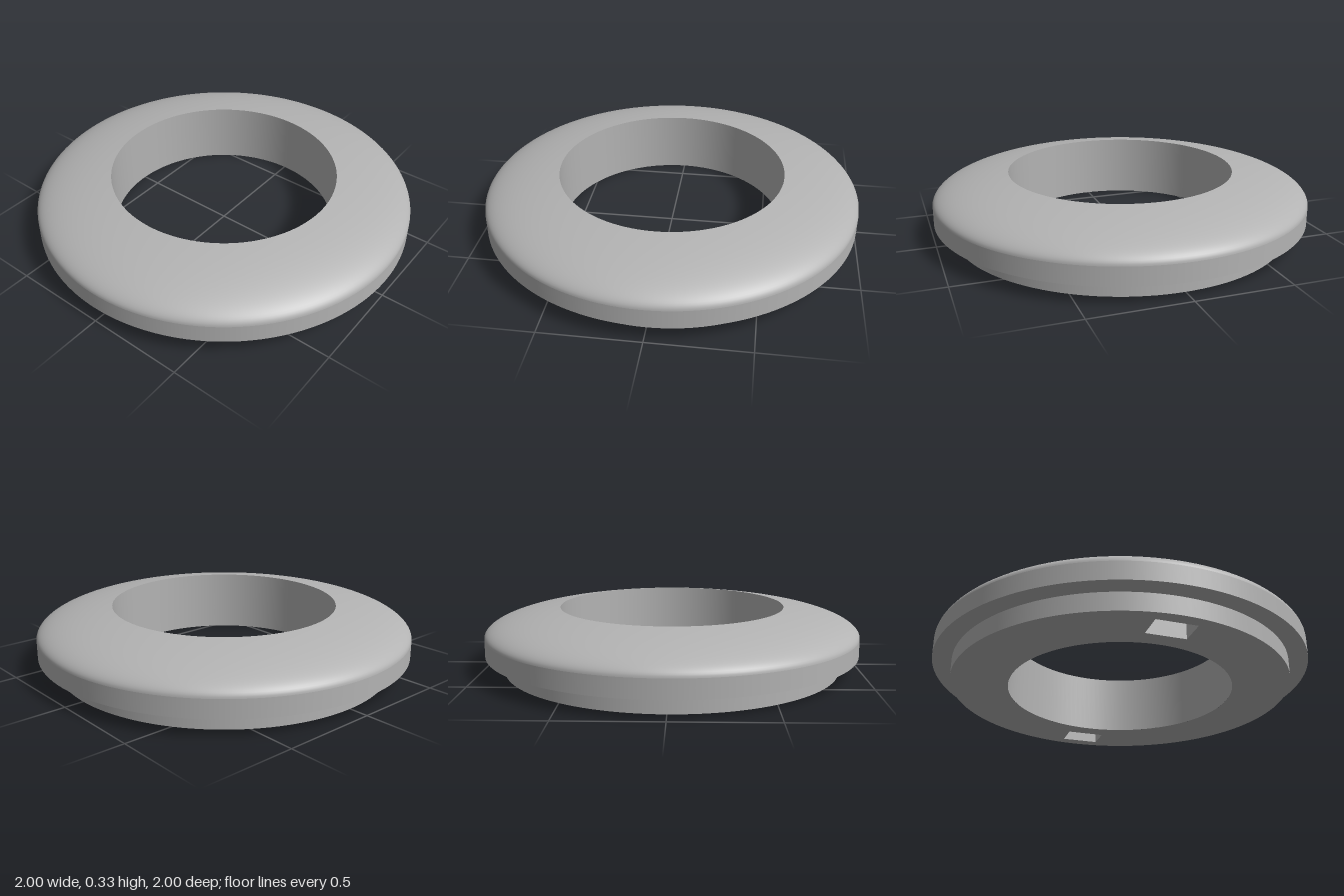
import * as THREE from 'three';

const SEGMENTS = 128;
const HOLE = 0.6, NECK = 0.9, RIM = 1;        // radii
const NECK_TOP = 0.095, WALL_TOP = 0.19;      // heights
const DOME = 0.175;                           // vertical half-axis of the domed top
const POCKET = { width: 0.207, length: 0.14, depth: 0.13, z: 0.762 };

// Rectangular recess: a box turned inside out, without its bottom face
function pocketGeometry() {
  const { width, length, depth } = POCKET;
  const geo = new THREE.BoxGeometry(width, depth, length);
  const index = Array.from(geo.index.array);
  index.splice(18, 6);
  geo.setIndex(index.reverse());
  geo.clearGroups();
  geo.computeVertexNormals();
  return geo;
}

export function createModel() {
  const group = new THREE.Group();
  const grey = new THREE.MeshStandardMaterial({ color: 0xb3b3b3 });
  grey.name = 'grey';

  const add = (name, geometry) => {
    const mesh = new THREE.Mesh(geometry, grey);
    mesh.name = name;
    group.add(mesh);
    return mesh;
  };
  const revolve = (name, points) =>
    add(name, new THREE.LatheGeometry(points.map(([r, y]) => new THREE.Vector2(r, y)), SEGMENTS));

  // Elliptical dome from the outer rim up to the edge of the hole
  const dome = [];
  const endAngle = Math.acos(HOLE / RIM);
  for (let i = 0; i <= 20; i++) {
    const a = endAngle * i / 20;
    dome.push([RIM * Math.cos(a), WALL_TOP + DOME * Math.sin(a)]);
  }
  const top = dome[dome.length - 1][1];

  // Separate surfaces of revolution keep the edges between them sharp
  revolve('neckWall', [[NECK, 0], [NECK, NECK_TOP]]);
  revolve('rimUnderside', [[NECK, NECK_TOP], [RIM, NECK_TOP]]);
  revolve('rimWall', [[RIM, NECK_TOP], [RIM, WALL_TOP]]);
  revolve('domedTop', dome);
  revolve('bore', [[HOLE, top], [HOLE, 0]]);

  // Flat base with the round hole and two pocket openings
  const base = new THREE.Shape().absarc(0, 0, NECK, 0, Math.PI * 2, false);
  base.holes.push(new THREE.Path().absarc(0, 0, HOLE, 0, Math.PI * 2, true));
  for (const side of [-1, 1]) {
    const w = POCKET.width / 2, l = POCKET.length / 2, z = side * POCKET.z;
    base.holes.push(new THREE.Path([[-w, -l], [-w, l], [w, l], [w, -l]]
      .map(([x, y]) => new THREE.Vector2(x, y + z))));
    add(side > 0 ? 'frontPocket' : 'backPocket', pocketGeometry())
      .position.set(0, POCKET.depth / 2, z);
  }
  add('baseFace', new THREE.ShapeGeometry(base, SEGMENTS).rotateX(Math.PI / 2));

  return group;
}
